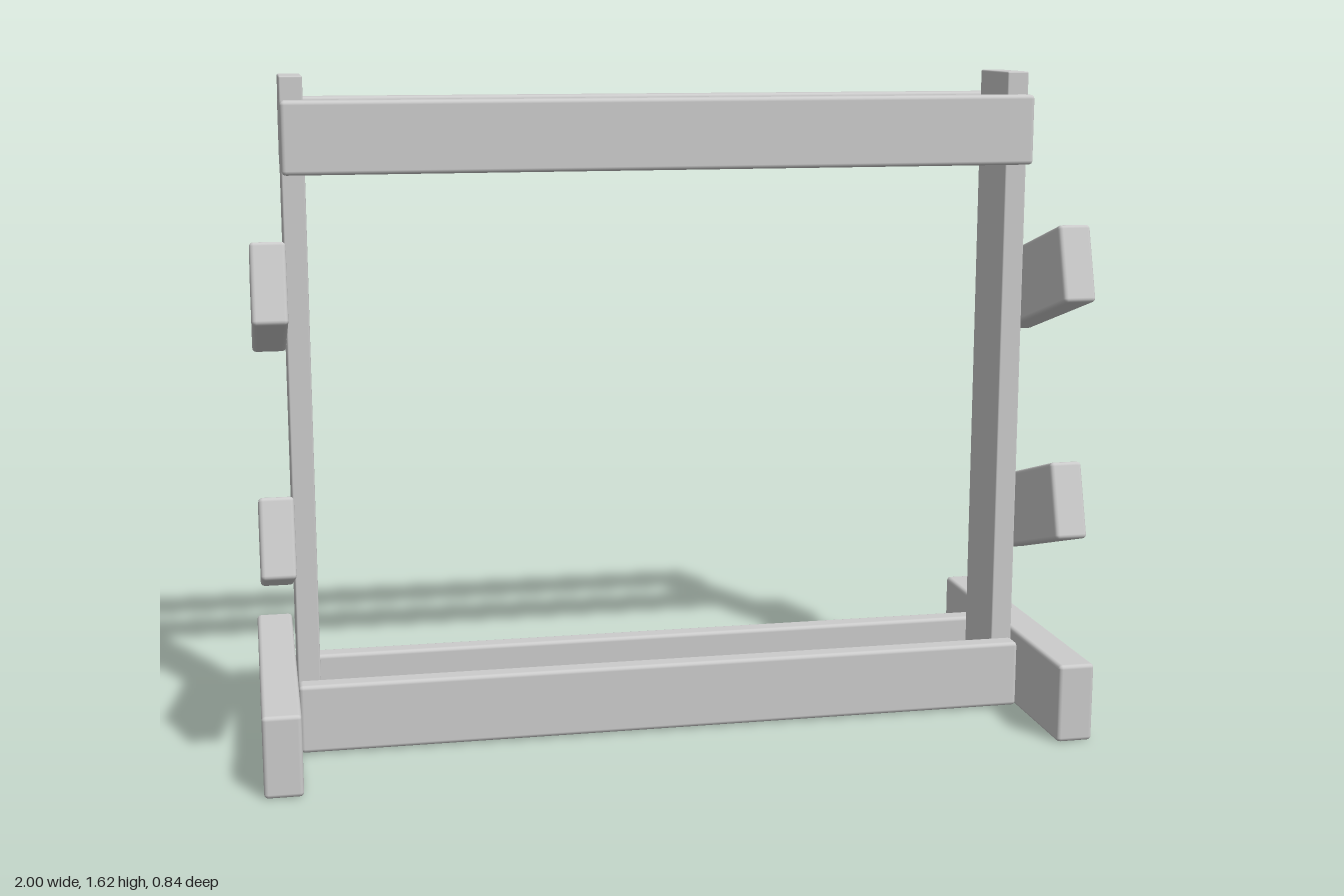
import * as THREE from 'three';
import { RoundedBoxGeometry } from 'three/addons/geometries/RoundedBoxGeometry.js';

const material = new THREE.MeshStandardMaterial({ color: 0xcccccc });

// Timber beam with softened edges, given by its size and centre
function beam(name, size, centre, radius = 0.01) {
  const mesh = new THREE.Mesh(new RoundedBoxGeometry(...size, 2, radius), material);
  mesh.name = name;
  mesh.position.set(...centre);
  return mesh;
}

export function createModel() {
  const rack = new THREE.Group();
  rack.name = 'storageRack';

  for (const [side, s] of [['left', 1], ['right', -1]]) {
    // Upright post and the foot beside it
    rack.add(beam(`${side}Post`, [0.054, 1.615, 0.192], [s * 0.881, 0.8125, -0.004], 0.004));
    rack.add(beam(`${side}Foot`, [0.09, 0.195, 0.836], [s * 0.954, 0.1025, 0]));

    // Two arms on the outer face, tilted up towards the front
    [['lower', 0.533], ['upper', 1.113]].forEach(([level, y]) => {
      const arm = beam(`${side}${level}Arm`, [0.08, 0.188, 0.43], [s * 0.948, y, 0.138]);
      arm.rotation.x = -0.296;
      rack.add(arm);
    });
  }

  // Paired rails clamping the posts at the top and bottom
  for (const [face, z] of [['front', 0.114], ['back', -0.129]]) {
    rack.add(beam(`${face}TopRail`, [1.816, 0.17, 0.054], [0, 1.48, z]));
    rack.add(beam(`${face}BottomRail`, [1.816, 0.168, 0.054], [0, 0.092, z]));
  }

  return rack;
}
